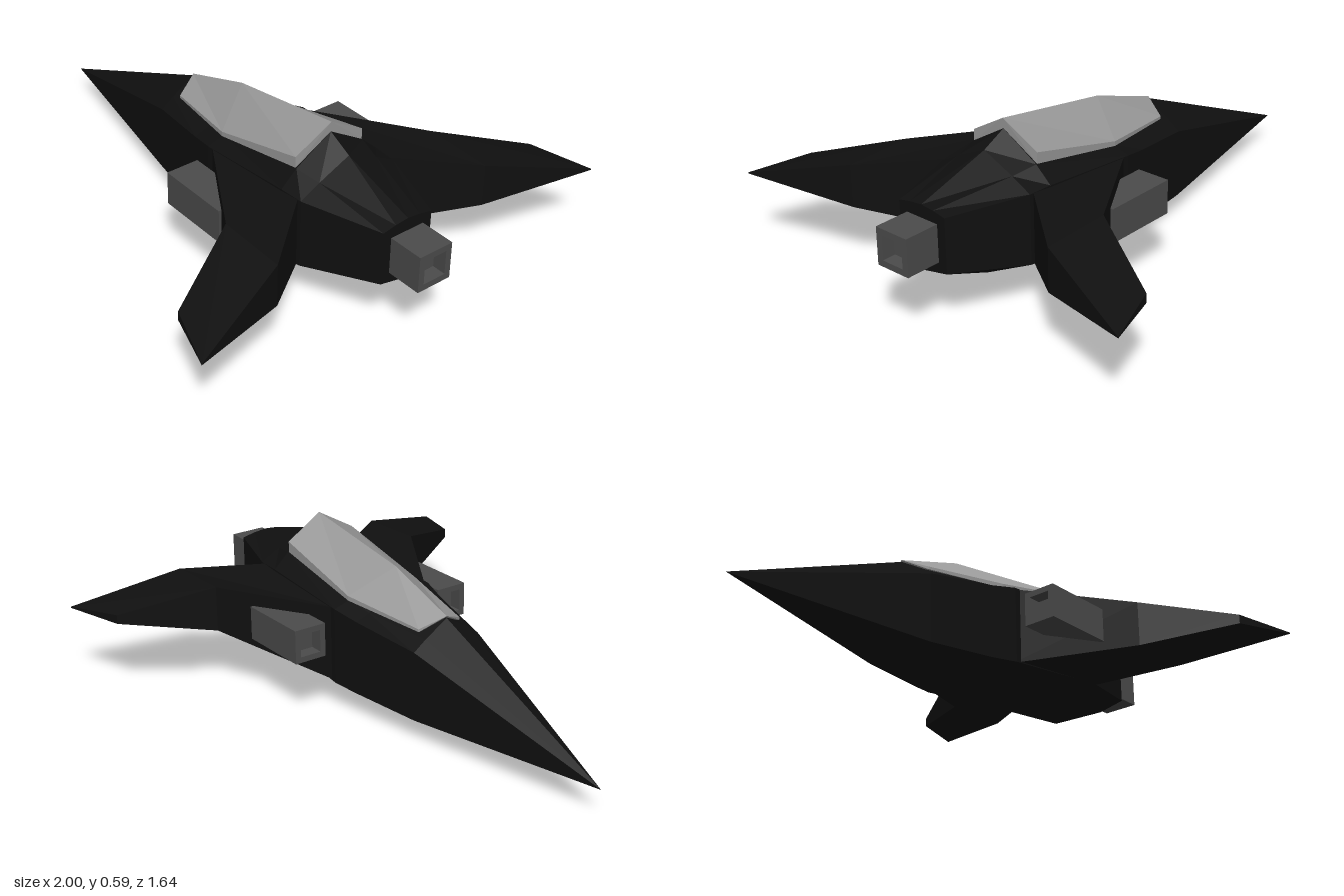
import * as THREE from 'three';

const hullMat = new THREE.MeshStandardMaterial({ color: 0x101010, flatShading: true });
const canopyMat = new THREE.MeshStandardMaterial({ color: 0x999999, flatShading: true });
const engineMat = new THREE.MeshStandardMaterial({ color: 0x4c4c4c, flatShading: true });

// Closed skin through rings of [x, y, z] points, with fan caps; faces turned outwards
function loft(rings) {
  const tris = [];
  const n = rings[0].length;
  const add = (a, b, c) => tris.push([a, b, c].map(p => new THREE.Vector3(...p)));
  for (let i = 0; i < rings.length - 1; i++) {
    for (let j = 0; j < n; j++) {
      const k = (j + 1) % n;
      const [a, b, c, d] = [rings[i][j], rings[i][k], rings[i + 1][k], rings[i + 1][j]];
      add(a, b, c);
      add(a, c, d);
    }
  }
  const last = rings[rings.length - 1];
  for (let j = 1; j < n - 1; j++) {
    add(rings[0][0], rings[0][j + 1], rings[0][j]);
    add(last[0], last[j], last[j + 1]);
  }
  let volume = 0;
  const cross = new THREE.Vector3();
  for (const [a, b, c] of tris) volume += a.dot(cross.crossVectors(b, c));
  const solid = tris.filter(([a, b, c]) =>
    cross.crossVectors(b.clone().sub(a), c.clone().sub(a)).length() > 1e-8);
  const pts = solid.flatMap(([a, b, c]) => (volume < 0 ? [a, c, b] : [a, b, c]));
  const geo = new THREE.BufferGeometry().setFromPoints(pts);
  geo.computeVertexNormals();
  return geo;
}

function part(name, geo, mat) {
  const mesh = new THREE.Mesh(geo, mat);
  mesh.name = name;
  return mesh;
}

// Square engine block along x with a recessed opening at one end (dir = +1 or -1)
function engine(name, length, size, dir) {
  const square = (s, Type) => new Type([[-s, -s], [s, -s], [s, s], [-s, s]]
    .map(([x, y]) => new THREE.Vector2(x, y)));
  const group = new THREE.Group();
  group.name = name;
  const shape = square(size / 2, THREE.Shape);
  shape.holes.push(square(size * 0.33, THREE.Path));
  const depth = 0.05;
  const rim = new THREE.ExtrudeGeometry(shape, { depth, bevelEnabled: false });
  rim.translate(0, 0, length / 2 - depth).rotateY(dir * Math.PI / 2);
  const block = new THREE.BoxGeometry(length - depth, size, size);
  block.translate(-dir * depth / 2, 0, 0);
  group.add(part('engineRim', rim, engineMat), part('engineBlock', block, engineMat));
  return group;
}

export function createModel() {
  const ship = new THREE.Group();
  ship.name = 'spaceship';

  // Hull stations: x, ridge y, shoulder [y, z], side [y, z], lower edge [y, z], keel y
  const stations = [
    [-1, 0.105, [0.105, 0], [0.105, 0], [0.105, 0], 0.105],
    [-0.24, 0.425, [0.37, 0.09], [0.335, 0.138], [0.085, 0.138], 0.005],
    [0.02, 0.47, [0.39, 0.13], [0.37, 0.185], [0.1, 0.185], 0.01],
    [0.12, 0.49, [0.41, 0.14], [0.39, 0.205], [0.11, 0.205], 0.02],
    [0.5, 0.56, [0.475, 0.14], [0.42, 0.2], [0.16, 0.2], 0.062],
    [0.59, 0.515, [0.46, 0.12], [0.42, 0.195], [0.17, 0.195], 0.072],
    [0.87, 0.43, [0.425, 0.05], [0.415, 0.1], [0.22, 0.1], 0.2],
  ];
  const hullRings = stations.map(([x, top, sh, side, low, keel]) => {
    const half = [sh, side, low];
    return [
      [x, top, 0],
      ...half.map(([y, z]) => [x, y, z]),
      [x, keel, 0],
      ...half.toReversed().map(([y, z]) => [x, y, -z]),
    ];
  });
  ship.add(part('hull', loft(hullRings), hullMat));

  // Canopy: ridge, pane edge and sill at each station
  const canopy = [
    [[-0.24, 0.432], [-0.2, 0.393, 0.088], [-0.2, 0.383, 0.088]],
    [[0.04, 0.525], [0.12, 0.425, 0.147], [0.12, 0.408, 0.147]],
    [[0.502, 0.597], [0.495, 0.515, 0.14], [0.495, 0.475, 0.14]],
  ].map(([ridge, edge, sill]) => [
    [...ridge, 0], edge, sill,
    [sill[0], sill[1], -sill[2]], [edge[0], edge[1], -edge[2]],
  ]);
  ship.add(part('canopy', loft(canopy), canopyMat));

  // Swept wings and their engine pods
  for (const [side, s] of [['left', 1], ['right', -1]]) {
    // Each section: leading [x, z, upper y, lower y], trailing likewise
    const sections = [
      [[0.12, 0.19, 0.39, 0.11], [0.57, 0.19, 0.42, 0.165]],
      [[0.52, 0.437, 0.402, 0.235], [0.775, 0.437, 0.395, 0.24]],
      [[0.69, 0.745, 0.316, 0.283], [0.905, 0.818, 0.297, 0.293]],
    ];
    const rings = sections.map(([a, b]) => [
      [a[0], a[2], s * a[1]], [b[0], b[2], s * b[1]],
      [b[0], b[3], s * b[1]], [a[0], a[3], s * a[1]],
    ]);
    ship.add(part(side + 'Wing', loft(rings), hullMat));

    const pod = engine(side + 'Pod', 0.28, 0.123, -1);
    pod.position.set(0.257, 0.29, s * 0.31);
    ship.add(pod);
  }

  // Tail engine
  const tail = engine('tailEngine', 0.16, 0.133, 1);
  tail.position.set(0.92, 0.317, 0);
  ship.add(tail);

  return ship;
}
